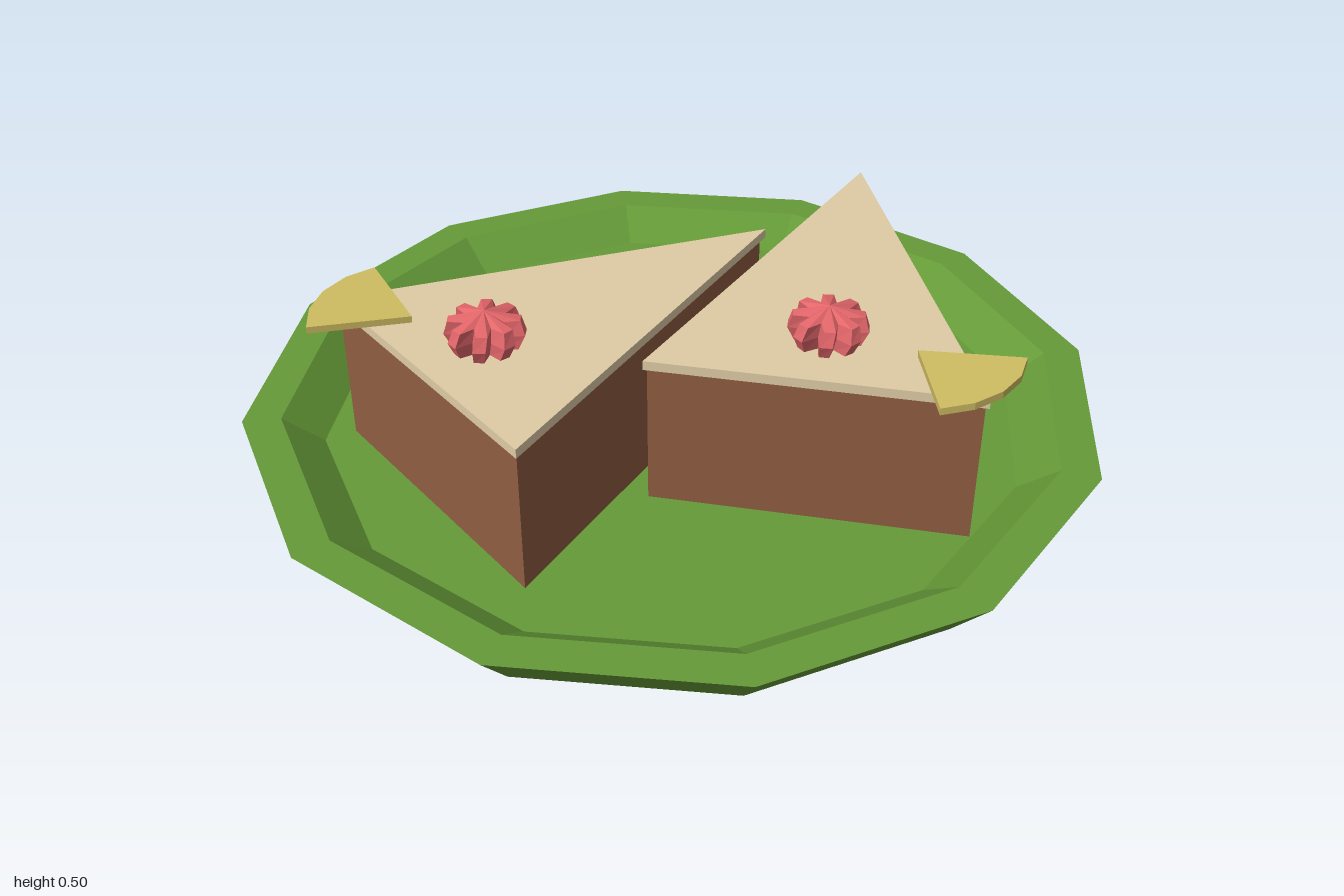
import * as THREE from 'three';

const mat = (color, extra = {}) =>
  new THREE.MeshStandardMaterial({ color, flatShading: true, ...extra });

const PLATE = mat(0x659a38);
const CAKE = mat(0x8f5d42);
const CREAM = mat(0xe0cca6);
const PINK = mat(0xe2666a);
const FRUIT = mat(0xcfbd62);

function part(name, geometry, material) {
  const mesh = new THREE.Mesh(geometry, material);
  mesh.name = name;
  return mesh;
}

// Flat outline given as [x, z], raised upwards by height
function slab(points, height) {
  const shape = new THREE.Shape(points.map(([x, z]) => new THREE.Vector2(x, -z)));
  return new THREE.ExtrudeGeometry(shape, { depth: height, bevelEnabled: false })
    .rotateX(-Math.PI / 2);
}

// Piped rosette: stacked star rings of blunt arms, slightly twisted, with a peak
function rosetteGeometry() {
  const arms = 8, n = arms * 3;
  const rings = [[0, 0.072, 0], [0.035, 0.088, 0.06], [0.068, 0.078, 0.14]]; // y, radius, twist
  const pos = [], index = [];
  for (const [y, r, twist] of rings) {
    for (let i = 0; i < n; i++) {
      const arm = Math.floor(i / 3), k = i % 3;
      const a = ((arm + [-0.2, 0.2, 0.5][k]) / arms) * Math.PI * 2 + twist;
      const rad = k === 2 ? r * 0.58 : r;
      pos.push(Math.sin(a) * rad, y, Math.cos(a) * rad);
    }
  }
  const peak = pos.length / 3;
  pos.push(0, 0.088, 0, 0, 0, 0);
  const last = (rings.length - 1) * n;
  for (let i = 0; i < n; i++) {
    const j = (i + 1) % n;
    for (let s = 0; s < last; s += n) {
      index.push(s + i, s + j, s + n + j, s + i, s + n + j, s + n + i);
    }
    index.push(last + i, last + j, peak, j, i, peak + 1);
  }
  const g = new THREE.BufferGeometry();
  g.setAttribute('position', new THREE.Float32BufferAttribute(pos, 3));
  g.setIndex(index);
  g.computeVertexNormals();
  return g;
}

// Slice with its short side at the origin and its tip towards +x
function cakeSlice(name) {
  const slice = new THREE.Group();
  slice.name = name;
  const cakeOutline = [[0.006, 0.352], [0.942, 0], [0.006, -0.352]];
  const creamOutline = [[0, 0.36], [0.96, 0], [0, -0.36]];

  ['lowerSponge', 'upperSponge'].forEach((layer, i) => {
    const sponge = part(layer, slab(cakeOutline, 0.17), CAKE);
    sponge.position.y = 0.05 + i * 0.17;
    slice.add(sponge);
  });

  const cream = part('creamTop', slab(creamOutline, 0.022), CREAM);
  cream.position.y = 0.39;
  slice.add(cream);

  const rosette = part('rosette', rosetteGeometry(), PINK);
  rosette.position.set(0.16, 0.41, 0.01);
  slice.add(rosette);
  return slice;
}

// Thin fruit wedge pointing along +z, its rind end tilted up
function fruitWedge(x, z, turn) {
  const points = [[0, 0]], half = 0.66, r = 0.225;
  for (let i = 0; i <= 4; i++) {
    const a = -half + (i / 4) * half * 2;
    points.push([Math.sin(a) * r, Math.cos(a) * r]);
  }
  const wedge = part('fruitWedge', slab(points, 0.016), FRUIT);
  wedge.rotation.set(-0.05, turn, 0, 'YXZ');
  wedge.position.set(x, 0.413, z);
  return wedge;
}

export function createModel() {
  const model = new THREE.Group();
  model.name = 'cakePlate';

  // Twelve-sided plate with a raised rim
  const profile = [[0, 0], [0.9, 0], [1, 0.122], [0.912, 0.122], [0.82, 0.05], [0, 0.05]];
  model.add(part('plate',
    new THREE.LatheGeometry(profile.map(([x, y]) => new THREE.Vector2(x, y)), 12), PLATE));

  const rightSlice = cakeSlice('rightSlice');
  rightSlice.position.set(-0.642, 0, -0.047);
  model.add(rightSlice);

  const leftSlice = cakeSlice('leftSlice');
  leftSlice.position.set(-0.03, 0, 0.497);
  leftSlice.rotation.y = THREE.MathUtils.degToRad(40);
  model.add(leftSlice);

  model.add(fruitWedge(-0.56, -0.21, -2.64), fruitWedge(0.2, 0.57, 0.05));
  return model;
}
